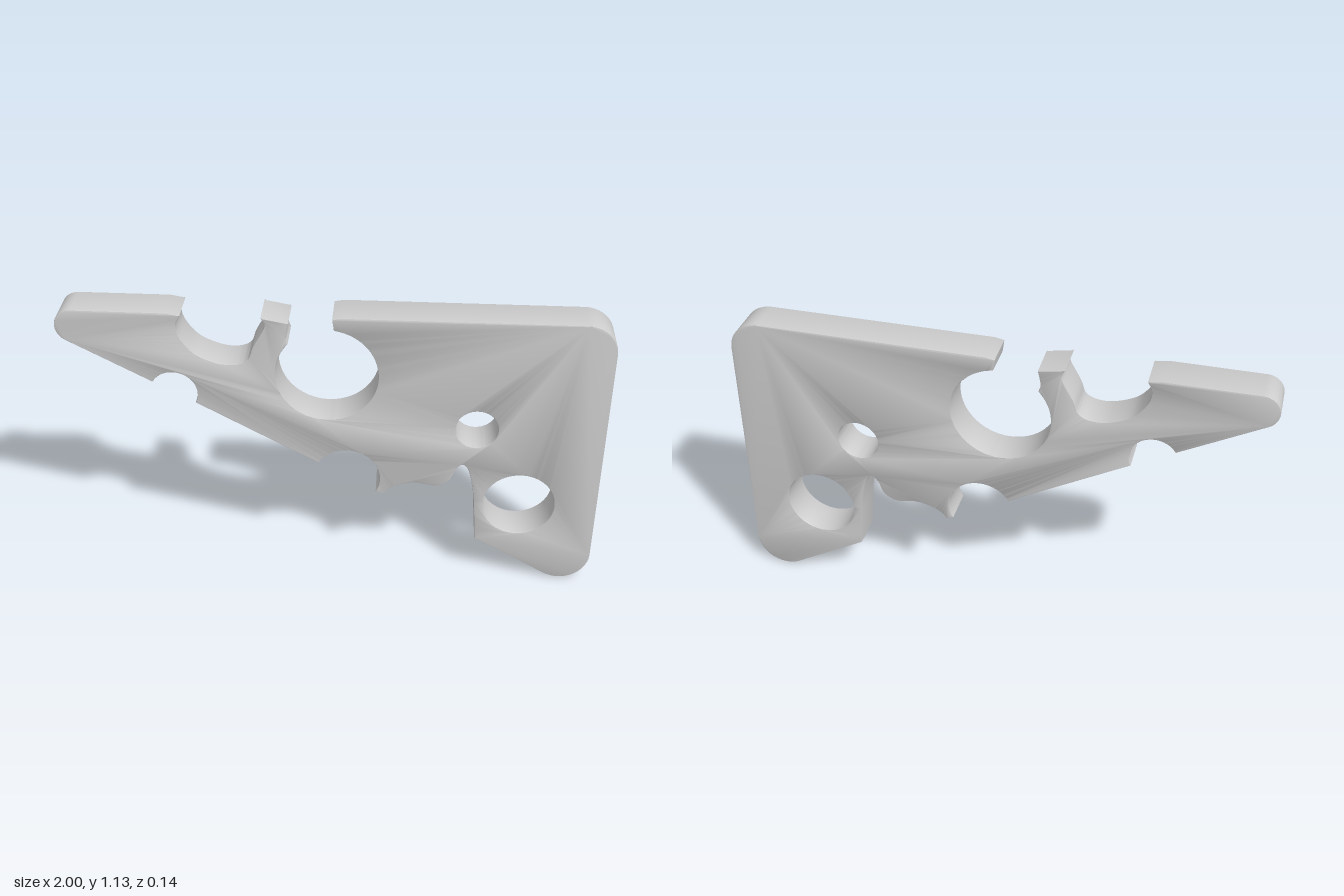
import * as THREE from 'three';
import { toCreasedNormals } from 'three/addons/utils/BufferGeometryUtils.js';

const rad = (deg) => deg * Math.PI / 180;
const points = (list) => list.map(([x, y]) => new THREE.Vector2(x, y));

export function createModel() {
  const group = new THREE.Group();
  group.name = 'notchedWedge';

  const s = new THREE.Shape();
  const arc = (x, y, r, from, to, clockwise) => s.absarc(x, y, r, rad(from), rad(to), clockwise);

  // rounded tip, then the sloping edge with its two round bites
  s.moveTo(-0.935, 1.13);
  arc(-0.935, 1.065, 0.065, 90, 242, false);
  arc(-0.587, 0.798, 0.088, 149, -26, true);
  arc(0.05, 0.444, 0.125, 149, -28, true);

  // wavy bite and narrow slot
  s.lineTo(0.187, 0.375);
  s.splineThru(points([[0.225, 0.41], [0.3, 0.432], [0.385, 0.422], [0.435, 0.447],
    [0.46, 0.5], [0.485, 0.522], [0.51, 0.49], [0.53, 0.395], [0.54, 0.29], [0.548, 0.177]]));

  // rounded corners of the tall end
  arc(0.886, 0.115, 0.114, 242, 360, false);
  arc(0.886, 1.016, 0.114, 0, 90, false);

  // large round hole that breaks through the top
  s.lineTo(0.03, 1.13);
  s.lineTo(-0.005, 1.123);
  arc(-0.025, 0.893, 0.187, 82, 138, true);
  s.splineThru(points([[-0.171, 1.045], [-0.16, 1.102]]));

  // top horn and the scooped bite beside it
  s.lineTo(-0.258, 1.12);
  s.splineThru(points([[-0.246, 1.085], [-0.29, 1.0], [-0.31, 0.95], [-0.355, 0.928],
    [-0.42, 0.932], [-0.5, 0.968], [-0.55, 1.03], [-0.562, 1.08], [-0.545, 1.12]]));
  s.lineTo(-0.6, 1.13);
  s.closePath();

  // two round through holes
  for (const [x, y, r] of [[0.528, 0.682, 0.079], [0.705, 0.347, 0.136]]) {
    s.holes.push(new THREE.Path().absarc(x, y, r, 0, Math.PI * 2, true));
  }

  // slab with slightly eased edges
  const thickness = 0.144, bevel = 0.004;
  const geometry = new THREE.ExtrudeGeometry(s, {
    depth: thickness - 2 * bevel, curveSegments: 32,
    bevelThickness: bevel, bevelSize: bevel, bevelOffset: -bevel, bevelSegments: 2,
  });
  geometry.translate(0, 0, bevel - thickness / 2);

  const slab = new THREE.Mesh(toCreasedNormals(geometry, rad(35)),
    new THREE.MeshStandardMaterial({ color: 0xcccccc }));
  slab.name = 'wedgeSlab';
  group.add(slab);
  return group;
}
